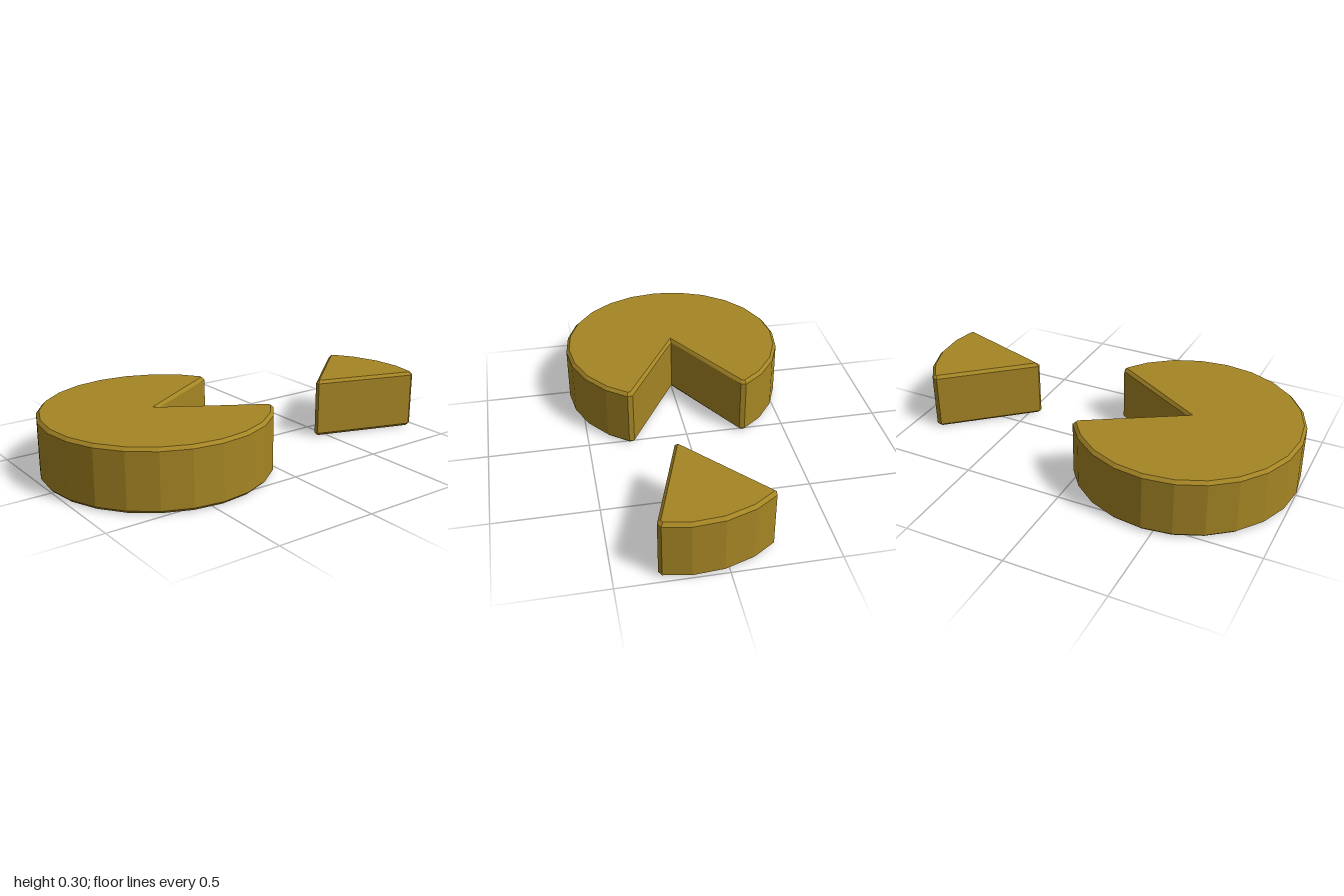
import * as THREE from 'three';

const BEVEL = 0.015, CUT = 0.02, BOTTOM = 0.005, TOP = 0.305;
const rad = THREE.MathUtils.degToRad;

// Sector outline: centre point plus an arc, with its sharp corners trimmed
function sectorGeometry(cx, cz, radius, fromDeg, toDeg, segments, trimTip) {
  const tip = new THREE.Vector2(cx, -cz);
  const pts = [tip];
  for (let i = 0; i <= segments; i++) {
    const a = rad(fromDeg + (toDeg - fromDeg) * i / segments);
    pts.push(new THREE.Vector2(cx + radius * Math.cos(a), -cz + radius * Math.sin(a)));
  }
  const n = pts.length;
  const outline = [];
  pts.forEach((p, i) => {
    const corner = i === 1 || i === n - 1 || (i === 0 && trimTip);
    if (!corner) return outline.push(p);
    for (const q of [pts[(i + n - 1) % n], pts[(i + 1) % n]]) {
      outline.push(q.clone().sub(p).setLength(CUT).add(p));
    }
  });

  // Upright slab with a single chamfer around the top and bottom
  const geometry = new THREE.ExtrudeGeometry(new THREE.Shape(outline), {
    depth: TOP - BOTTOM - 2 * BEVEL,
    bevelEnabled: true,
    bevelThickness: BEVEL,
    bevelSize: BEVEL,
    bevelOffset: -BEVEL,
    bevelSegments: 1,
  });
  geometry.rotateX(-Math.PI / 2);
  geometry.translate(0, BOTTOM + BEVEL, 0);
  return geometry;
}

export function createModel() {
  const group = new THREE.Group();
  const rind = new THREE.MeshStandardMaterial({ color: 0xa58524, flatShading: true });
  rind.name = 'golden rind';

  const add = (name, geometry) => {
    const mesh = new THREE.Mesh(geometry, rind);
    mesh.name = name;
    group.add(mesh);
  };

  // Round with a sixth cut away, and the loose slice beside it
  add('cutWheel', sectorGeometry(-0.445, 0, 0.557, 30.4, 329.6, 20, false));
  add('slice', sectorGeometry(0.43, 0.135, 0.57, -18, 41, 4, true));
  return group;
}
